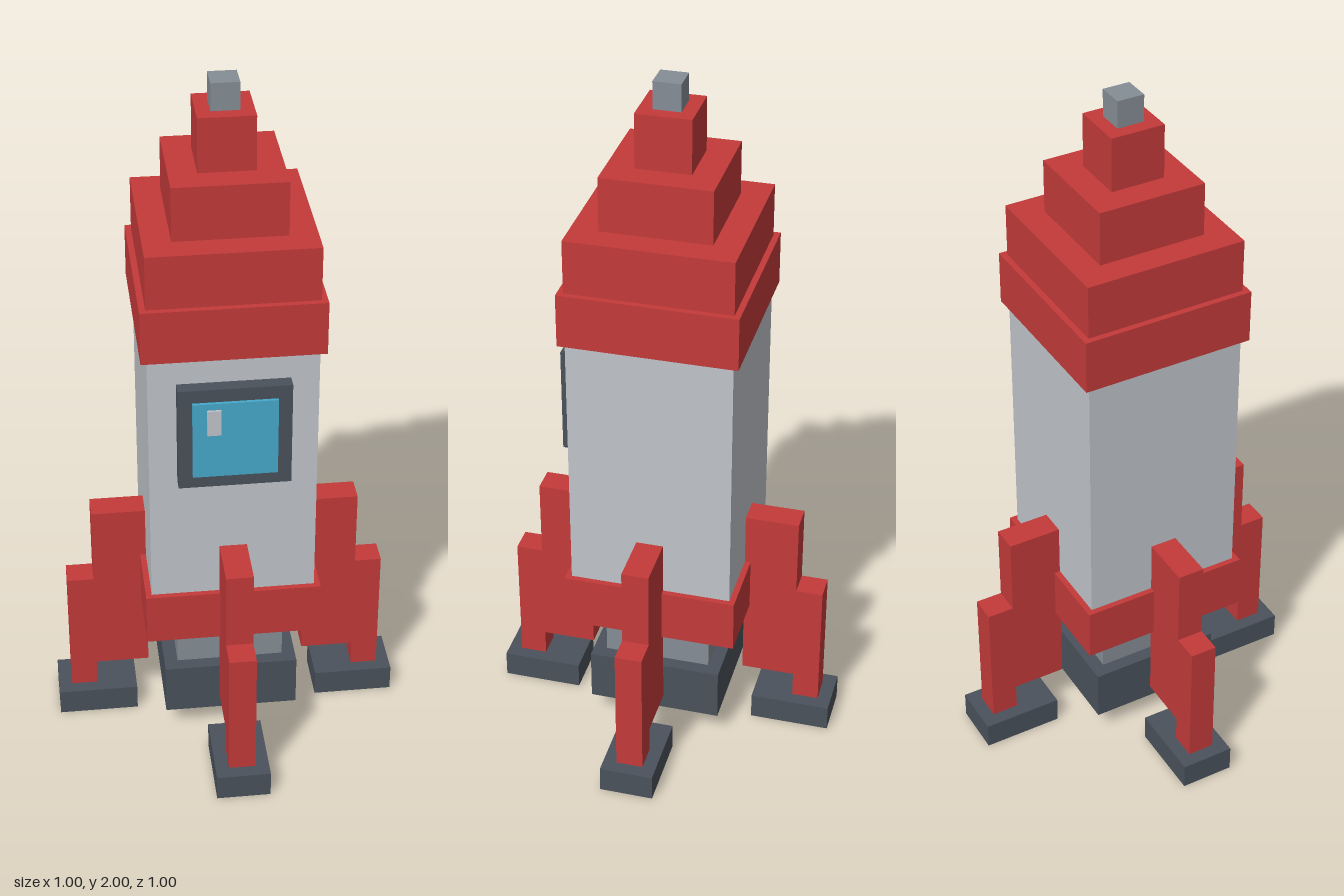
import * as THREE from 'three';

const U = 1 / 13; // block size

const mat = (name, color) => {
  const m = new THREE.MeshStandardMaterial({ color });
  m.name = name;
  return m;
};

export function createModel() {
  const red = mat('red', 0xc43a3a);
  const lightGrey = mat('light grey', 0xc1c5ca);
  const midGrey = mat('mid grey', 0x868e96);
  const darkGrey = mat('dark grey', 0x4a525b);
  const blue = mat('glass blue', 0x46a9cc);

  const root = new THREE.Group();
  root.name = 'rocket';

  // Box from its min and max corners, in blocks
  const box = (name, material, [x0, y0, z0], [x1, y1, z1], parent = root) => {
    const mesh = new THREE.Mesh(
      new THREE.BoxGeometry((x1 - x0) * U, (y1 - y0) * U, (z1 - z0) * U), material);
    mesh.position.set((x0 + x1) / 2 * U, (y0 + y1) / 2 * U, (z0 + z1) / 2 * U);
    mesh.name = name;
    parent.add(mesh);
    return mesh;
  };

  // Square tiers stacked along the axis: name, material, half width, bottom, top
  const tiers = [
    ['engineNeck', midGrey, 2, 3, 5],
    ['body', lightGrey, 3, 4.98, 17],
    ['lowerBand', red, 3.22, 5, 7],
    ['upperBand', red, 3.22, 17, 19],
    ['noseLower', red, 3, 19, 21],
    ['noseMiddle', red, 2, 21, 23],
    ['noseUpper', red, 1, 23, 25],
    ['noseTip', midGrey, 0.5, 25, 26],
  ];
  for (const [name, material, h, y0, y1] of tiers) {
    box(name, material, [-h, y0, -h], [h, y1, h]);
  }

  // Hollow square nozzle, open at the bottom
  const square = (h, Type) => new Type([[-h, -h], [h, -h], [h, h], [-h, h]]
    .map(([x, y]) => new THREE.Vector2(x * U, y * U)));
  const ring = square(2.5, THREE.Shape);
  ring.holes.push(square(1.5, THREE.Path));
  const nozzleGeometry = new THREE.ExtrudeGeometry(ring, { depth: 2 * U, bevelEnabled: false });
  nozzleGeometry.rotateX(-Math.PI / 2);
  const nozzle = new THREE.Mesh(nozzleGeometry, darkGrey);
  nozzle.position.y = U;
  nozzle.name = 'nozzle';
  root.add(nozzle);

  // Four landing legs, each a fin, a strut and a foot
  for (let i = 0; i < 4; i++) {
    const leg = new THREE.Group();
    leg.name = 'landingLeg' + (i + 1);
    box('fin', red, [3, 2, -0.5], [5, 9, 0.5], leg);
    box('strut', red, [5, 1, -0.5], [6, 6, 0.5], leg);
    box('foot', darkGrey, [3.5, 0, -1], [6.5, 1, 1], leg);
    leg.rotation.y = i * Math.PI / 2;
    root.add(leg);
  }

  // Front window with thin glass and glint
  const porthole = new THREE.Group();
  porthole.name = 'window';
  box('windowFrame', darkGrey, [-2, 12, 3], [2, 16, 3.5], porthole);
  box('windowGlass', blue, [-1.5, 12.5, 3.5], [1.5, 15.5, 3.62], porthole);
  box('windowGlint', lightGrey, [-1, 14.25, 3.62], [-0.5, 15.25, 3.7], porthole);
  root.add(porthole);

  return root;
}
